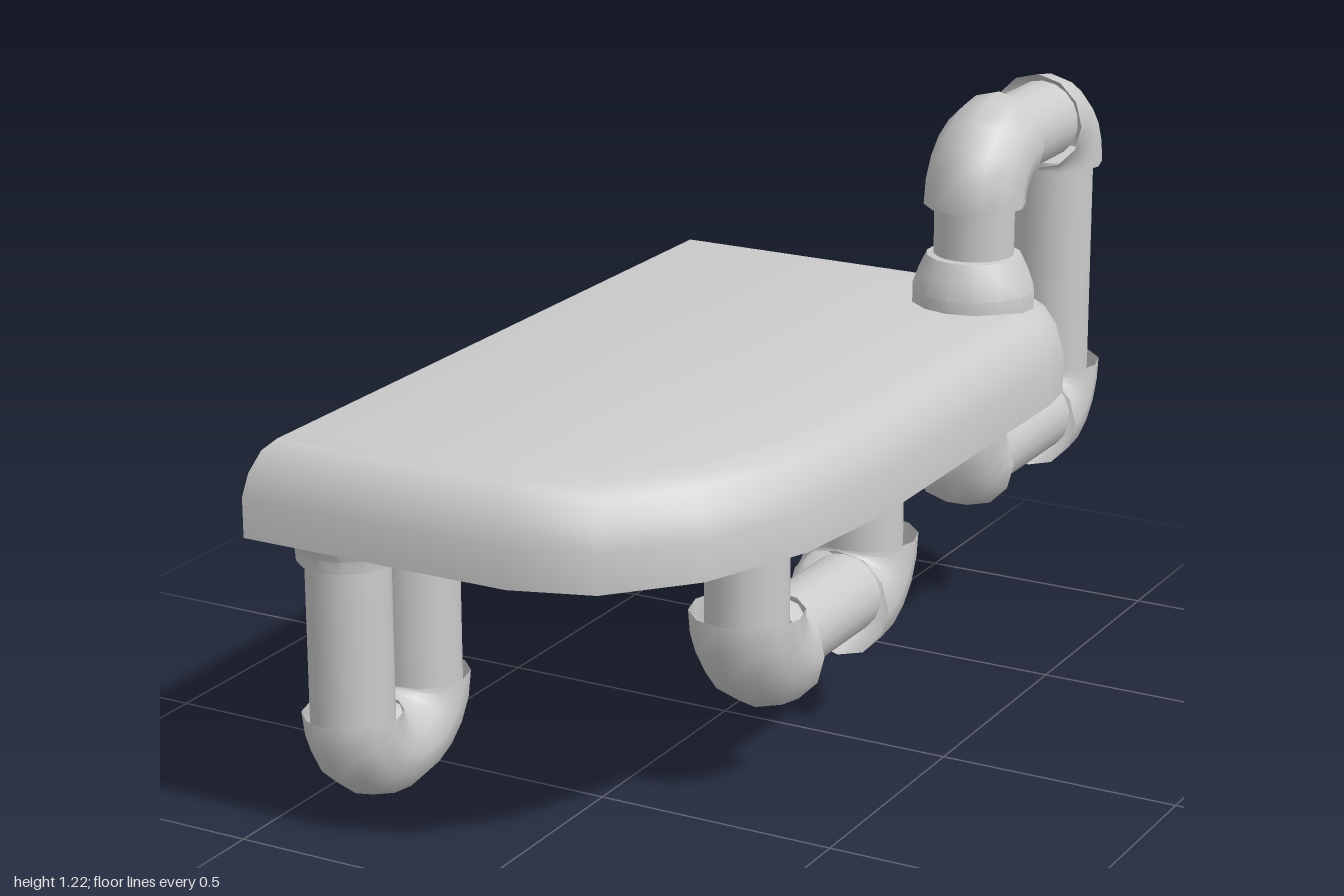
import * as THREE from 'three';
import { toCreasedNormals } from 'three/addons/utils/BufferGeometryUtils.js';

const grey = new THREE.MeshStandardMaterial({ color: 0xcccccc, side: THREE.DoubleSide });
const PIPE_R = 0.083;

function addMesh(parent, name, geometry) {
  const mesh = new THREE.Mesh(geometry, grey);
  mesh.name = name;
  parent.add(mesh);
  return mesh;
}

// Straight pipe between two points
function addPipe(parent, a, b) {
  const dir = b.clone().sub(a);
  const pipe = addMesh(parent, 'pipe', new THREE.CylinderGeometry(PIPE_R, PIPE_R, dir.length(), 18));
  pipe.position.copy(a).add(b).multiplyScalar(0.5);
  pipe.quaternion.setFromUnitVectors(new THREE.Vector3(0, 1, 0), dir.normalize());
}

// Quarter bend from a to b, rounding the given corner
function addElbow(parent, a, corner, b, r) {
  const curve = new THREE.CubicBezierCurve3(a, a.clone().lerp(corner, 0.55), b.clone().lerp(corner, 0.55), b);
  addMesh(parent, 'elbow', new THREE.TubeGeometry(curve, 5, r, 12));
}

// Flared collar turned from a [radius, y] profile
function addCollar(parent, x, z, profile) {
  const geo = new THREE.LatheGeometry(profile.map(([r, y]) => new THREE.Vector2(r, y)), 14);
  addMesh(parent, 'collar', toCreasedNormals(geo, 0.5)).position.set(x, 0, z);
}

// Outline of the slab moved inward by d; the two left corners stay square
function slabRing(d, y) {
  const left = -0.47 + d * 0.65, right = 0.515 - d, back = -0.69 + d, front = 1 - d;
  const ring = [[left, y, back]];
  const arc = (rx, rz, cz, from) => {
    for (let i = 0; i <= 4; i++) {
      const t = from + (i / 4) * Math.PI / 2;
      ring.push([right - rx + rx * Math.cos(t), y, cz + rz * Math.sin(t)]);
    }
  };
  arc(0.18 - d * 0.6, 0.24 - d * 0.6, back + 0.24 - d * 0.6, -Math.PI / 2);
  arc(0.415 - d * 0.5, 0.7 - d * 0.5, front - 0.7 + d * 0.5, 0);
  ring.push([left, y, front]);
  return ring;
}

function slabGeometry() {
  const rings = [[0, 0.62], [0, 0.7], [0.012, 0.745], [0.035, 0.785], [0.062, 0.803], [0.09, 0.812]]
    .map(([d, y]) => slabRing(d, y));
  const n = rings[0].length, index = [];
  for (let k = 0; k < rings.length - 1; k++) {
    for (let i = 0; i < n; i++) {
      const j = (i + 1) % n, a = k * n, b = a + n;
      index.push(a + i, b + i, b + j, a + i, b + j, a + j);
    }
  }
  // Flat underside and top
  const top = (rings.length - 1) * n;
  for (let i = 1; i < n - 1; i++) index.push(0, i, i + 1, top, top + i + 1, top + i);
  const geo = new THREE.BufferGeometry();
  geo.setAttribute('position', new THREE.Float32BufferAttribute(rings.flat(2), 3));
  geo.setIndex(index);
  return toCreasedNormals(geo, 0.65);
}

function addGroup(parent, name) {
  const group = new THREE.Group();
  group.name = name;
  parent.add(group);
  return group;
}

export function createModel() {
  const model = new THREE.Group();
  model.name = 'slabWithPipes';
  addMesh(model, 'slab', slabGeometry());

  // Tall U-shaped leg
  const leg = addGroup(model, 'tallPipeLeg');
  const P = (x, y, z) => new THREE.Vector3(x, y, z);
  const lx = -0.39;
  for (const s of [1, -1]) {
    const z = 0.66 + s * 0.12;
    addPipe(leg, P(lx, 0.19, z), P(lx, 0.63, z));
    addCollar(leg, lx, z, [[PIPE_R, 0.525], [0.098, 0.525], [0.1, 0.55], [0.118, 0.59], [0.127, 0.615], [0.127, 0.65], [0, 0.65]]);
    addElbow(leg, P(lx, 0.21, z), P(lx, 0.103, z), P(lx, 0.103, 0.66), 0.099);
  }

  // Wide U-shaped pipe below the slab
  const under = addGroup(model, 'lowPipe');
  const ux = 0.245, uy = 0.292, zMid = 0.112;
  addPipe(under, P(ux, uy, 0.28), P(ux, uy, -0.055));
  for (const s of [1, -1]) {
    const z = zMid + s * 0.247;
    addPipe(under, P(ux, 0.37, z), P(ux, 0.63, z));
    addCollar(under, ux, z, [[PIPE_R, 0.527], [0.095, 0.527], [0.125, 0.555], [0.14, 0.59], [0.14, 0.625]]);
    addElbow(under, P(ux, 0.395, z), P(ux, 0.28, z), P(ux, 0.28, z - s * 0.107), 0.114);
  }

  // Pipe leaving the top, looping behind the slab and returning underneath
  const loop = addGroup(model, 'rearPipeLoop');
  const x = 0.32, zTop = -0.482, zBack = -0.882, yTop = 1.122, yLow = 0.472;
  addCollar(loop, x, zTop, [[0.128, 0.8], [0.128, 0.838], [0.115, 0.875], [0.098, 0.91], [PIPE_R, 0.912]]);
  addPipe(loop, P(x, 0.8, zTop), P(x, 1.04, zTop));
  addElbow(loop, P(x, 1.015, zTop), P(x, yTop, zTop), P(x, yTop, -0.59), 0.105);
  addPipe(loop, P(x, yTop, -0.57), P(x, yTop, -0.81));
  addElbow(loop, P(x, yTop, -0.785), P(x, yTop, zBack), P(x, 1.015, zBack), 0.102);
  addPipe(loop, P(x, 1.03, zBack), P(x, 0.56, zBack));
  addElbow(loop, P(x, 0.575, zBack), P(x, yLow - 0.005, zBack), P(x, yLow - 0.005, -0.785), 0.108);
  addPipe(loop, P(x, yLow, -0.81), P(x, yLow, -0.46));
  addElbow(loop, P(x, yLow - 0.005, -0.475), P(x, yLow - 0.005, -0.4), P(x, 0.605, -0.4), 0.105);
  addPipe(loop, P(x, 0.55, -0.4), P(x, 0.63, -0.4));
  return model;
}
